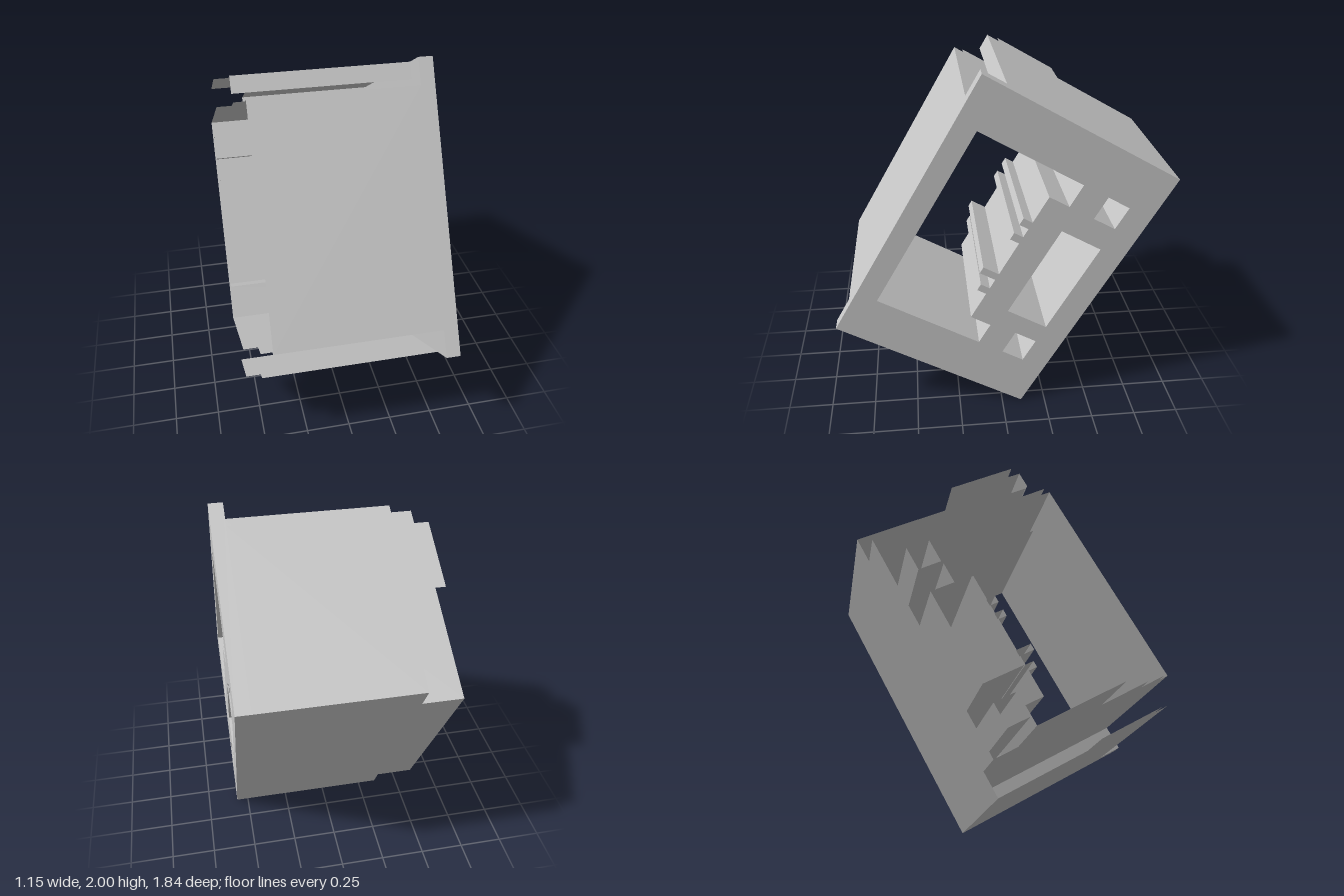
import * as THREE from 'three';

// Local layout: x across, s = distance behind the front sheet, l = distance below the top sheet.
const DEPTH = 1.19, LEN = 1.62, PLATE = 0.49, RIM = 0.57, OPEN = -0.58;

export function createModel() {
  const grey = new THREE.MeshStandardMaterial({ color: 0xc8c8c8, side: THREE.DoubleSide });
  grey.name = 'light grey sheet';
  const model = new THREE.Group();
  model.name = 'tiltedEnclosure';
  const body = new THREE.Group();
  body.name = 'enclosure';
  model.add(body);

  const add = (name, geometry) => {
    const mesh = new THREE.Mesh(geometry, grey);
    mesh.name = name;
    body.add(mesh);
    return mesh;
  };
  const vecs = pts => pts.map(([a, b]) => new THREE.Vector2(a, b));
  const rect = (a0, a1, b0, b1) => [[a0, b0], [a1, b0], [a1, b1], [a0, b1]];

  // Sheet lying at constant l, outlined in (x, s)
  const levelSheet = (name, l, pts) =>
    add(name, new THREE.ShapeGeometry(new THREE.Shape(vecs(pts)))
      .rotateX(-Math.PI / 2).translate(0, -l, 0));

  // Sheet standing at constant s, outlined in (x, l)
  const standingSheet = (name, s, pts) =>
    add(name, new THREE.ShapeGeometry(new THREE.Shape(vecs(pts.map(([x, l]) => [x, -l]))))
      .translate(0, 0, -s));

  // Open-ended duct following an outline in (s, l)
  const duct = (name, pts, xEnd) => {
    const pos = [];
    pts.forEach(([s0, l0], i) => {
      const [s1, l1] = pts[(i + 1) % pts.length];
      const a = [PLATE, -l0, -s0], b = [PLATE, -l1, -s1];
      const c = [xEnd, -l1, -s1], d = [xEnd, -l0, -s0];
      pos.push(...a, ...b, ...c, ...a, ...c, ...d);
    });
    const g = new THREE.BufferGeometry();
    g.setAttribute('position', new THREE.Float32BufferAttribute(pos, 3));
    g.computeVertexNormals();
    add(name, g);
  };

  // Toothed main window outline
  const teeth = [[0.567, 0.61, 0.574], [0.664, 0.707, 0.574], [0.92, 0.96, 0.533], [1.02, 1.06, 0.574]];
  const windowPts = [[0.12, 0.26], [0.755, 0.26], [0.755, 0.4], [0.63, 0.4]];
  for (const [l0, l1, tip] of teeth) windowPts.push([0.63, l0], [tip, l0], [tip, l1], [0.63, l1]);
  windowPts.push([0.63, 1.23], [0.755, 1.23], [0.755, 1.36], [0.12, 1.36]);

  const openings = [
    ['mainWindow', windowPts, -0.24],
    ['longSlot', rect(0.796, 1.047, 0.54, 1.105), OPEN],
    ['upperSquareSlot', rect(0.91, 1.046, 0.26, 0.4), OPEN],
    ['lowerSquareSlot', rect(0.91, 1.046, 1.215, 1.36), OPEN],
  ];

  // Thick side plate with its cut-outs
  const outline = new THREE.Shape(vecs(rect(0, DEPTH, 0, -LEN)));
  for (const [name, pts, xEnd] of openings) {
    outline.holes.push(new THREE.Path(vecs(pts.map(([s, l]) => [s, -l]))));
    duct(name + 'Duct', pts, xEnd);
  }
  add('sidePlate', new THREE.ExtrudeGeometry(outline, { depth: RIM - PLATE, bevelEnabled: false })
    .rotateY(Math.PI / 2).translate(PLATE, 0, 0));

  // Outer top and bottom sheets, notched at the back of the open side
  const outer = [[PLATE, 0.15], [PLATE, DEPTH], [-0.36, DEPTH], [-0.36, 0.63],
    [OPEN, 0.63], [OPEN, 0.23], [-0.5, 0.23], [-0.5, 0.15]];
  levelSheet('topSheet', 0, outer);
  levelSheet('bottomSheet', LEN, outer);

  // Inner shelves, stepped toward the front
  const shelf = [[PLATE, 0], [PLATE, DEPTH], [OPEN, DEPTH], [OPEN, 0.22],
    [-0.5, 0.22], [-0.5, 0.06], [-0.44, 0.06], [-0.44, 0]];
  levelSheet('upperShelf', 0.15, shelf);
  levelSheet('lowerShelf', 1.467, shelf);

  // Front sheet, top lip and notched back sheet
  standingSheet('frontSheet', 0, rect(-0.44, PLATE, 0.15, 1.467));
  standingSheet('topLip', 0.15, rect(-0.5, PLATE, 0, 0.095));
  standingSheet('backSheet', DEPTH, [[PLATE, 0], [PLATE, LEN], [-0.36, LEN], [-0.36, 1.467],
    [OPEN, 1.467], [OPEN, 0.15], [-0.36, 0.15], [-0.36, 0]]);

  // Lean the whole enclosure back onto its lower rear edge
  body.rotation.x = -Math.PI / 6;
  body.position.set(0, 1.998, 0.11);
  return model;
}
